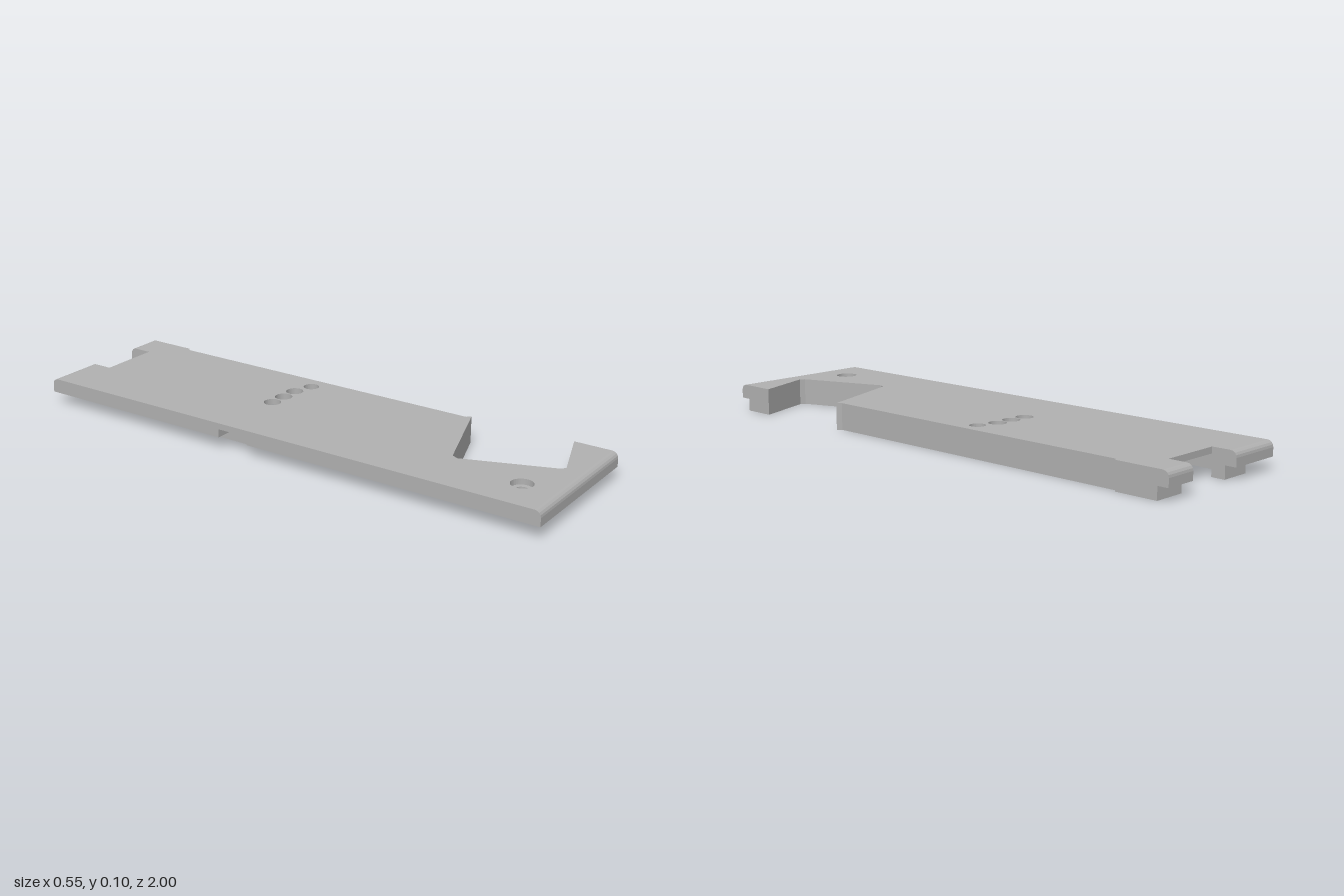
import * as THREE from 'three';

const grey = new THREE.MeshStandardMaterial({ color: 0xb0b0b0 });
grey.name = 'plain grey';

// Closed shape from [x, z] points on the ground plane
const outline = (pts, Kind = THREE.Shape) => new Kind(pts.map(([x, z]) => new THREE.Vector2(x, -z)));

const circle = (x, z, r) => new THREE.Path().absarc(x, -z, r, 0, Math.PI * 2, true);

// Upright prism between two heights
function prism(name, shape, y0, y1, holes = []) {
  shape.holes.push(...holes);
  const g = new THREE.ExtrudeGeometry(shape, { depth: y1 - y0, bevelEnabled: false, curveSegments: 16 });
  g.rotateX(-Math.PI / 2).translate(0, y0, 0);
  const m = new THREE.Mesh(g, grey);
  m.name = name;
  return m;
}

// Overhanging end lip with a rounded top edge; side is 1 for front, -1 for back
function endLip(name, x0, x1, side) {
  const r = 0.022, top = 0.097, pts = [[0.96, 0.045], [1, 0.045]];
  for (let i = 0; i <= 4; i++) {
    const a = (i / 4) * Math.PI / 2;
    pts.push([1 - r + r * Math.cos(a), top - r + r * Math.sin(a)]);
  }
  pts.push([0.96, top]);
  const shape = new THREE.Shape(pts.map(([z, y]) => new THREE.Vector2(-side * z, y)));
  const g = new THREE.ExtrudeGeometry(shape, { depth: x1 - x0, bevelEnabled: false });
  g.rotateY(Math.PI / 2).translate(x0, 0, 0);
  const m = new THREE.Mesh(g, grey);
  m.name = name;
  return m;
}

export function createModel() {
  const group = new THREE.Group();
  group.name = 'coverPlate';

  // Angled cut-out and stepped left edge, shared by plate and walls
  const leftEdge = [
    [0.275, 0.96], [0.275, 0.842], [0.062, 0.918], [0.045, 0.908],
    [-0.07, 0.598], [-0.06, 0.574], [0.275, 0.455], [0.262, 0.44],
    [0.262, -0.795], [0.275, -0.805], [0.275, -0.96],
  ];

  // Thin top plate with vent holes and screw recess
  const ventHoles = [[-0.007, -0.19, 0.031], [0.06, -0.19, 0.031], [0.127, -0.19, 0.031], [0.2, -0.168, 0.028]];
  group.add(prism('topPlate', outline([
    [-0.275, 0.96], ...leftEdge,
    [0.155, -0.96], [0.155, -0.91], [-0.07, -0.91], [-0.07, -0.96], [-0.275, -0.96],
  ]), 0.075, 0.097, [...ventHoles.map((h) => circle(...h)), circle(-0.128, 0.86, 0.038)]));

  // Inner skirt wall, open at the back notch, with a small pocket at the front
  group.add(prism('skirtWall', outline([
    [-0.07, -0.96], [-0.183, -0.96], [-0.183, 0.96], ...leftEdge, [0.155, -0.96],
    [0.155, -0.91], [0.237, -0.91], [0.237, 0.442], [-0.08, 0.555], [-0.096, 0.6],
    [0.02, 0.915], [0.03, 0.935], [-0.158, 0.935], [-0.158, -0.91], [-0.07, -0.91],
  ]), 0, 0.075, [outline([[0.25, 0.881], [0.25, 0.935], [0.105, 0.935]], THREE.Path)]));

  // Overhanging ledge along the right side, with a small relief
  group.add(prism('sideLedge', outline([
    [-0.275, -0.96], [-0.183, -0.96], [-0.183, 0.96], [-0.275, 0.96],
    [-0.275, -0.1], [-0.215, -0.1], [-0.215, -0.22], [-0.275, -0.22],
  ]), 0.045, 0.075));

  // Rounded end lips
  group.add(endLip('frontLip', -0.275, 0.275, 1));
  group.add(endLip('backLipRight', -0.275, -0.07, -1));
  group.add(endLip('backLipLeft', 0.155, 0.275, -1));

  // Screw boss under the recess
  const boss = new THREE.Shape().absarc(-0.128, -0.86, 0.043, 0, Math.PI * 2, false);
  group.add(prism('screwBoss', boss, 0.005, 0.077, [circle(-0.128, 0.86, 0.021)]));

  return group;
}
